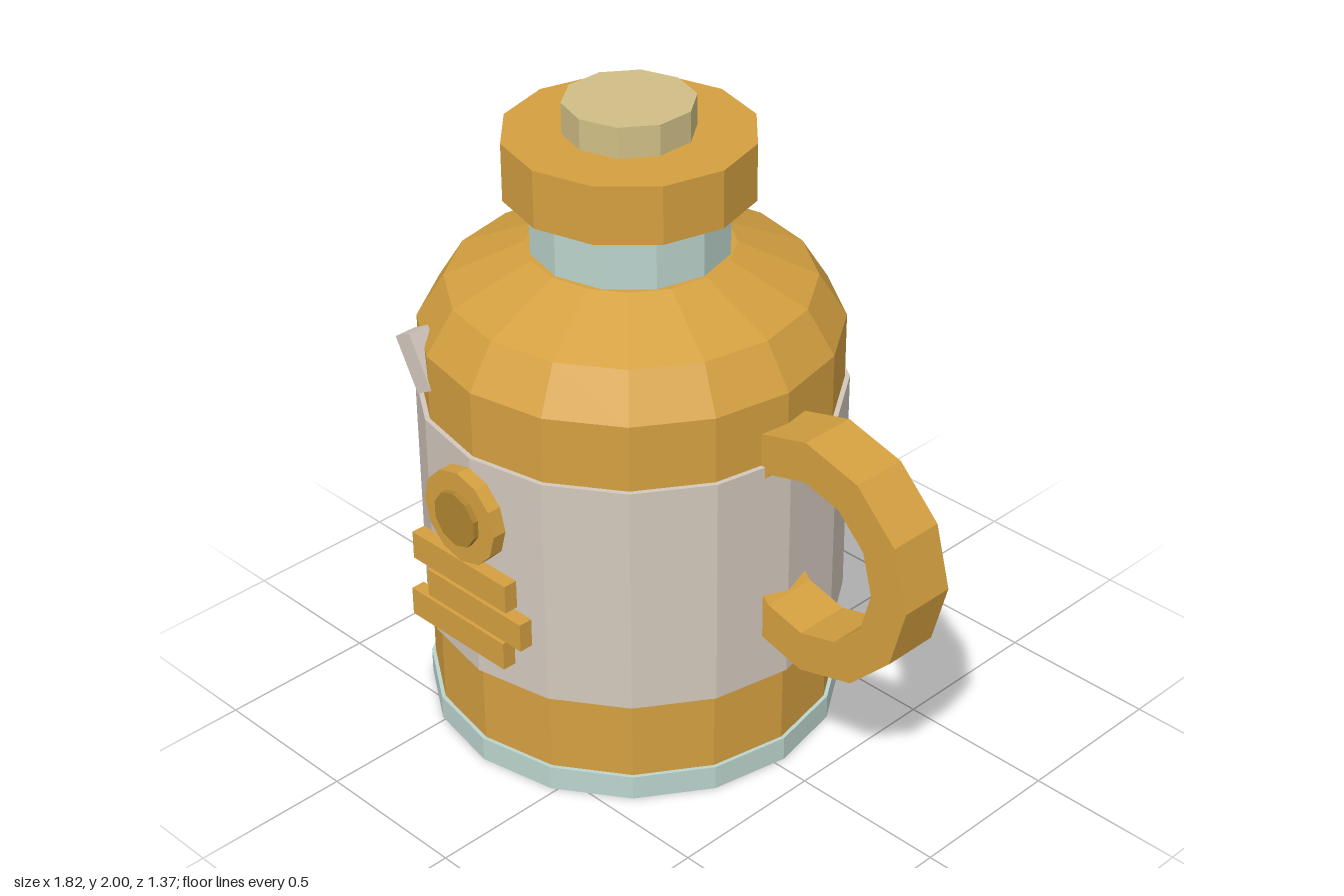
import * as THREE from 'three';

export function createModel() {
  const model = new THREE.Group();
  model.name = 'canteen';

  const mat = (name, color) => {
    const m = new THREE.MeshStandardMaterial({ color, flatShading: true });
    m.name = name;
    return m;
  };
  const gold = mat('gold', 0xd4a040);
  const darkGold = mat('dark gold', 0xb08530);
  const stone = mat('warm grey', 0xd2c7bc);
  const mint = mat('pale mint', 0xbcd4cd);
  const sand = mat('sand', 0xd0be86);

  // Axis of the bottle, offset to leave room for the handle
  const CX = -0.265, CZ = -0.033;

  const add = (name, geometry, material, x, y, z) => {
    const mesh = new THREE.Mesh(geometry, material);
    mesh.name = name;
    mesh.position.set(x, y, z);
    model.add(mesh);
    return mesh;
  };
  // Upright faceted cylinder on the bottle axis
  const ring = (name, material, r, y0, y1, sides) =>
    add(name, new THREE.CylinderGeometry(r, r, y1 - y0, sides), material, CX, (y0 + y1) / 2, CZ);

  // Body with sloped shoulders
  const profile = [[0, 0.04], [0.635, 0.04], [0.635, 1.3], [0.55, 1.435], [0.31, 1.545], [0, 1.545]]
    .map(([r, y]) => new THREE.Vector2(r, y));
  add('body', new THREE.LatheGeometry(profile, 16), gold, CX, 0, CZ);

  // Stacked rings
  ring('base', mint, 0.647, 0, 0.08, 16);
  ring('band', stone, 0.65, 0.34, 1.09, 16);
  ring('neck', mint, 0.3, 1.54, 1.73, 12);
  ring('cap', gold, 0.375, 1.725, 1.905, 12);
  ring('knob', sand, 0.195, 1.9, 2, 10);

  // Handle: faceted arc of rectangular section, its ends sunk in the body
  const outer = [], inner = [];
  for (let deg = -150; deg <= 150; deg += 30) {
    const a = THREE.MathUtils.degToRad(deg);
    outer.push(new THREE.Vector2(0.39 * Math.cos(a), 0.39 * Math.sin(a)));
    inner.unshift(new THREE.Vector2(0.26 * Math.cos(a), 0.26 * Math.sin(a)));
  }
  const arc = new THREE.Shape([...outer, ...inner]);
  const handle = new THREE.ExtrudeGeometry(arc, { depth: 0.18, bevelEnabled: false });
  add('handle', handle, gold, 0.52, 0.85, CZ - 0.09);

  // Dial on the front
  const disc = (name, material, r, z0, z1, sides) => {
    const g = new THREE.CylinderGeometry(r, r, z1 - z0, sides).rotateX(Math.PI / 2);
    add(name, g, material, CX, 0.91, (z0 + z1) / 2);
  };
  disc('dialRim', gold, 0.15, 0.62, 0.665, 12);
  disc('dialFace', darkGold, 0.088, 0.63, 0.683, 10);

  // Staggered bars under the dial
  [[-0.28, 0.712], [-0.22, 0.607], [-0.297, 0.502]].forEach(([x, y], i) =>
    add('bar' + (i + 1), new THREE.BoxGeometry(0.405, 0.092, 0.045), gold, x, y, 0.6425));

  // Slanted tab on the shoulder
  add('tab', new THREE.BoxGeometry(0.07, 0.18, 0.072), stone, -0.565, 1.254, 0.522)
    .rotation.z = THREE.MathUtils.degToRad(29);

  return model;
}
